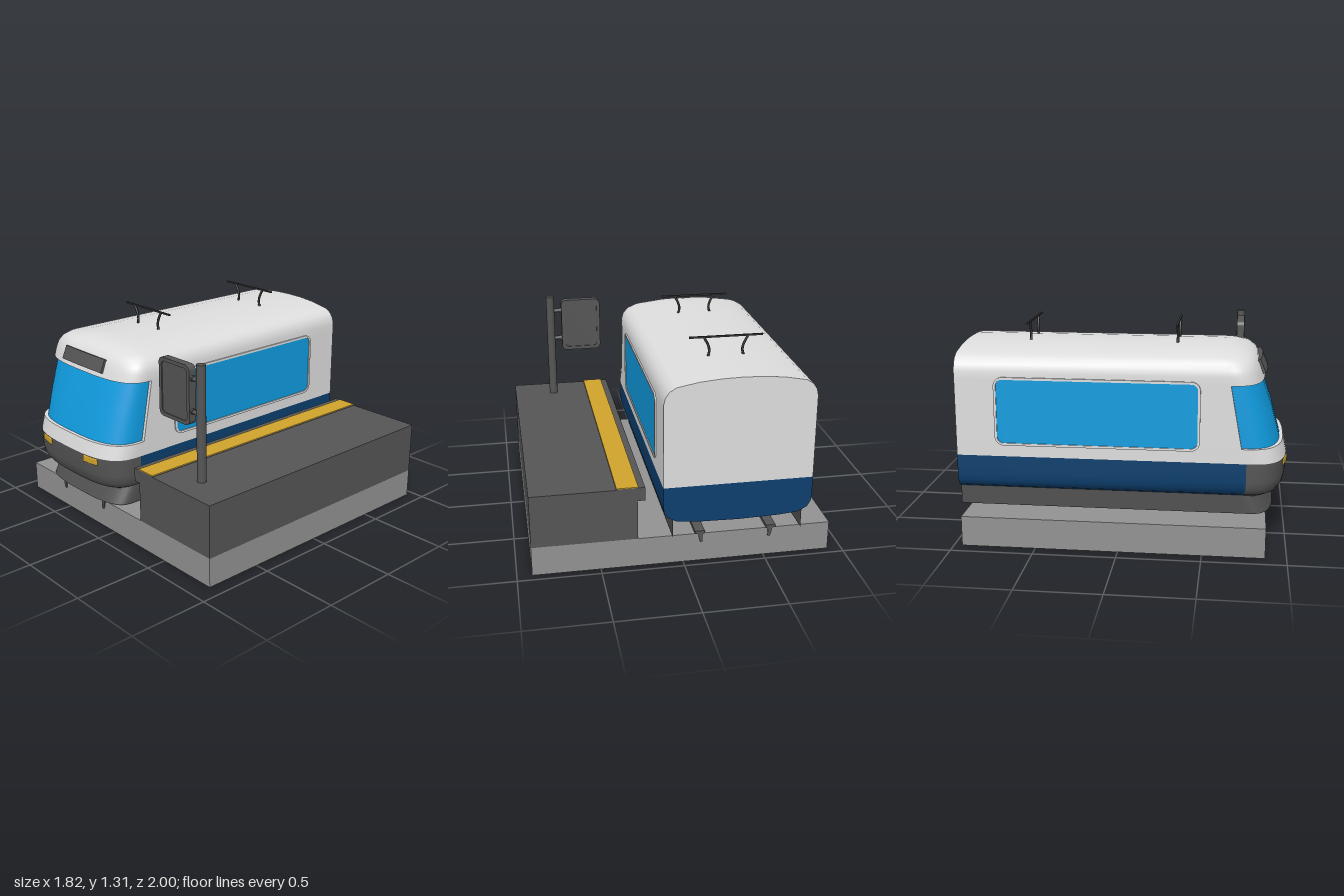
import * as THREE from 'three';
import { RoundedBoxGeometry } from 'three/addons/geometries/RoundedBoxGeometry.js';

const mat = (name, color, side = THREE.FrontSide) => {
  const m = new THREE.MeshStandardMaterial({ color, side });
  m.name = name;
  return m;
};

// One point of the tram shell. Row: [halfWidth, y, frontZ, noseStartZ, inset]
// Column: [angle around the nose, runs to the rear end, inset factor]
function shellPoint([w, y, f, zA, d = 0], [t, back = false, k = 1]) {
  const c = Math.cos(t), s = Math.max(0, Math.sin(t)), e = 2 / 3, i = d * k;
  const x = (Math.max(0, w - i)) * Math.sign(c) * Math.abs(c) ** e;
  return [x, y, back ? -1 : zA + (f - zA - i) * (s < 1e-9 ? 0 : s ** e)];
}

function patch(rows, cols) {
  const pos = [], idx = [], n = cols.length;
  rows.forEach(r => cols.forEach(c => pos.push(...shellPoint(r, c))));
  for (let i = 0; i < rows.length - 1; i++) {
    for (let j = 0; j < n - 1; j++) {
      const a = i * n + j, b = a + 1, c = a + n, d = c + 1;
      idx.push(a, c, b, b, c, d);
    }
  }
  const g = new THREE.BufferGeometry();
  g.setAttribute('position', new THREE.Float32BufferAttribute(pos, 3));
  g.setIndex(idx);
  g.computeVertexNormals();
  return g;
}

function roundRect(w, h, r, Type = THREE.Shape) {
  const s = new Type(), x = w / 2 - r, y = h / 2 - r;
  s.absarc(x, y, r, 0, Math.PI / 2);
  s.absarc(-x, y, r, Math.PI / 2, Math.PI);
  s.absarc(-x, -y, r, Math.PI, Math.PI * 1.5);
  s.absarc(x, -y, r, Math.PI * 1.5, Math.PI * 2);
  s.closePath();
  return s;
}

const extrude = (shape, depth) =>
  new THREE.ExtrudeGeometry(shape, { depth, bevelEnabled: false, curveSegments: 6 });

function frameShape(w, h, r, rim) {
  const s = roundRect(w, h, r);
  s.holes.push(roundRect(w - 2 * rim, h - 2 * rim, r * 0.7, THREE.Path));
  return s;
}

export function createModel() {
  const white = mat('white paint', 0xdedede), navy = mat('navy paint', 0x0c3f6e);
  const dark = mat('dark grey', 0x555555), skirtGrey = mat('skirt grey', 0x505050, THREE.DoubleSide);
  const glass = mat('blue glass', 0x109ce0), yellow = mat('yellow', 0xd0a42c);
  const concrete = mat('concrete', 0x929292), black = mat('pantograph black', 0x363636);
  const model = new THREE.Group();
  model.name = 'tramStop';

  const add = (parent, name, geo, m, x = 0, y = 0, z = 0) => {
    const mesh = new THREE.Mesh(geo, m);
    mesh.name = name;
    mesh.position.set(x, y, z);
    parent.add(mesh);
    return mesh;
  };
  const block = (name, m, x0, x1, y0, y1, z0, z1) =>
    add(model, name, new THREE.BoxGeometry(x1 - x0, y1 - y0, z1 - z0), m,
      (x0 + x1) / 2, (y0 + y1) / 2, (z0 + z1) / 2);

  // Ground slab and platform
  const zb = -0.95, zf = 0.874;
  block('groundSlab', concrete, -0.913, 0.91, 0, 0.185, zb, zf);
  block('platform', dark, 0.275, 0.91, 0.185, 0.517, zb, zf);
  block('platformLip', dark, 0.23, 0.4, 0.437, 0.522, zb, zf);
  block('safetyStripe', yellow, 0.27, 0.4, 0.522, 0.527, zb, zf);

  const tram = new THREE.Group();
  tram.name = 'tram';
  tram.position.x = -0.32;
  model.add(tram);

  // Shell profile, bottom to top
  const low = [[0, 0.288, 0.85, 0.7], [0.25, 0.294, 0.87, 0.72], [0.37, 0.305, 0.91, 0.73],
    [0.425, 0.335, 0.955, 0.74], [0.447, 0.37, 0.978, 0.75], [0.452, 0.42, 0.99, 0.75], [0.452, 0.53, 0.995, 0.75]];
  const belt = [low[6], [0.452, 0.62, 0.972, 0.72]];
  const mid = [belt[1], [0.452, 0.8, 0.922, 0.687], [0.452, 1.0, 0.852, 0.65]];
  const top = [mid[2], [0.452, 1.05, 0.835, 0.64], [0.443, 1.09, 0.82, 0.63], [0.42, 1.125, 0.8, 0.61],
    [0.38, 1.15, 0.77, 0.59], [0.25, 1.175, 0.72, 0.56], [0.12, 1.187, 0.65, 0.52], [0, 1.19, 0.58, 0.5]];
  const nose = Array.from({ length: 33 }, (_, i) => [i / 32 * Math.PI]);
  const sideA = [[0, true], [0]], sideB = [[Math.PI], [Math.PI, true]];
  const all = [sideA[0], ...nose, sideB[1]];

  add(tram, 'lowerNose', patch(low, nose), dark);
  add(tram, 'beltPanel', patch(belt, all), white);
  add(tram, 'roof', patch(top, all), white);
  for (const side of [sideA, sideB]) {
    add(tram, 'lowerSide', patch(low, side), navy);
    add(tram, 'sidePanel', patch(mid, side), white);
  }

  // Recessed wraparound windshield with its white reveal
  const inset = mid.map(r => [...r, 0.022]);
  add(tram, 'windshield', patch(inset, nose), glass);
  add(tram, 'windshieldSill', patch([mid[0], inset[0]], nose), white);
  add(tram, 'windshieldHeader', patch([inset[2], mid[2]], nose), white);
  add(tram, 'windshieldPost', patch(inset, [[0, false, 0], [0, false, 1]]), white);
  add(tram, 'windshieldPost', patch(inset, [[Math.PI, false, 1], [Math.PI, false, 0]]), white);

  // Flat rear end
  const rear = rows => {
    const right = rows.map(([w, y]) => new THREE.Vector2(w, y));
    const left = rows.filter(r => r[0] > 0).map(([w, y]) => new THREE.Vector2(-w, y)).reverse();
    return new THREE.ShapeGeometry(new THREE.Shape([...right, ...left])).rotateY(Math.PI);
  };
  add(tram, 'rearPanel', rear([...belt, ...mid.slice(1), ...top.slice(1)]), white, 0, 0, -1);
  add(tram, 'rearLowerPanel', rear(low), navy, 0, 0, -1);

  // Skirt, open at the rear
  add(tram, 'skirt', patch([[0.393, 0.2, 0.918, 0.76], [0.393, 0.32, 0.85, 0.7]], all), skirtGrey);

  // Side windows, rails and headlights, mirrored
  for (const s of [1, -1]) {
    const win = add(tram, 'sideWindow', extrude(roundRect(1.205, 0.39, 0.04), 0.004), glass, s * 0.451, 0.81, -0.143);
    const rim = add(tram, 'sideWindowFrame', extrude(frameShape(1.235, 0.42, 0.055, 0.015), 0.01), white, s * 0.451, 0.81, -0.143);
    win.rotation.y = rim.rotation.y = s * Math.PI / 2;

    const rail = new THREE.Shape([[0.19, 0.205], [0.19, 0.187], [0.203, 0.18], [0.203, 0.13], [0.218, 0.13],
      [0.232, 0.187], [0.25, 0.187], [0.25, 0.205]].map(([x, y]) => new THREE.Vector2(s * x, y)));
    add(tram, 'rail', extrude(rail, 1.84), dark, 0, 0, -0.958);

    const lamp = add(tram, 'headlight', new RoundedBoxGeometry(0.124, 0.05, 0.04, 2, 0.012), yellow, s * 0.235, 0.503, 0.967);
    lamp.rotation.y = s * 0.2;
  }

  // Destination box, bowed to follow the nose
  const box = new THREE.BoxGeometry(0.415, 0.088, 0.06, 10, 1, 1);
  const p = box.attributes.position;
  for (let i = 0; i < p.count; i++) p.setZ(i, p.getZ(i) - 0.4 * p.getX(i) ** 2);
  box.computeVertexNormals();
  add(tram, 'destinationBox', box, dark, 0, 1.068, 0.824).rotation.x = -0.4;

  // Pantographs
  for (const z of [0.315, -0.598]) {
    const panto = new THREE.Group();
    panto.name = 'pantograph';
    panto.position.z = z;
    tram.add(panto);
    add(panto, 'contactBar', new THREE.BoxGeometry(0.452, 0.01, 0.012), black, 0, 1.305, 0);
    for (const s of [1, -1]) {
      const path = new THREE.CatmullRomCurve3([[0.113, 1.17], [0.102, 1.215], [0.108, 1.25], [0.135, 1.303]]
        .map(([x, y]) => new THREE.Vector3(s * x, y, 0)));
      add(panto, 'pantographArm', new THREE.TubeGeometry(path, 12, 0.008, 8), black);
    }
  }

  // Platform sign on its post
  const sign = new THREE.Group();
  sign.name = 'platformSign';
  sign.position.z = 0.692;
  model.add(sign);
  add(sign, 'signPost', new THREE.CylinderGeometry(0.028, 0.028, 0.72, 20), dark, 0.637, 0.875, 0);
  add(sign, 'signPanel', extrude(roundRect(0.262, 0.355, 0.03), 0.036), dark, 0.425, 1.028, -0.018);
  add(sign, 'signRim', extrude(frameShape(0.272, 0.365, 0.035, 0.023), 0.05), dark, 0.425, 1.028, -0.025);
  for (const y of [1.133, 0.932]) {
    const arm = add(sign, 'signArm', new THREE.CylinderGeometry(0.013, 0.013, 0.09, 12), dark, 0.59, y, 0);
    const collar = add(sign, 'signCollar', new THREE.CylinderGeometry(0.018, 0.018, 0.014, 12), dark, 0.565, y, 0);
    arm.rotation.z = collar.rotation.z = Math.PI / 2;
  }
  return model;
}
